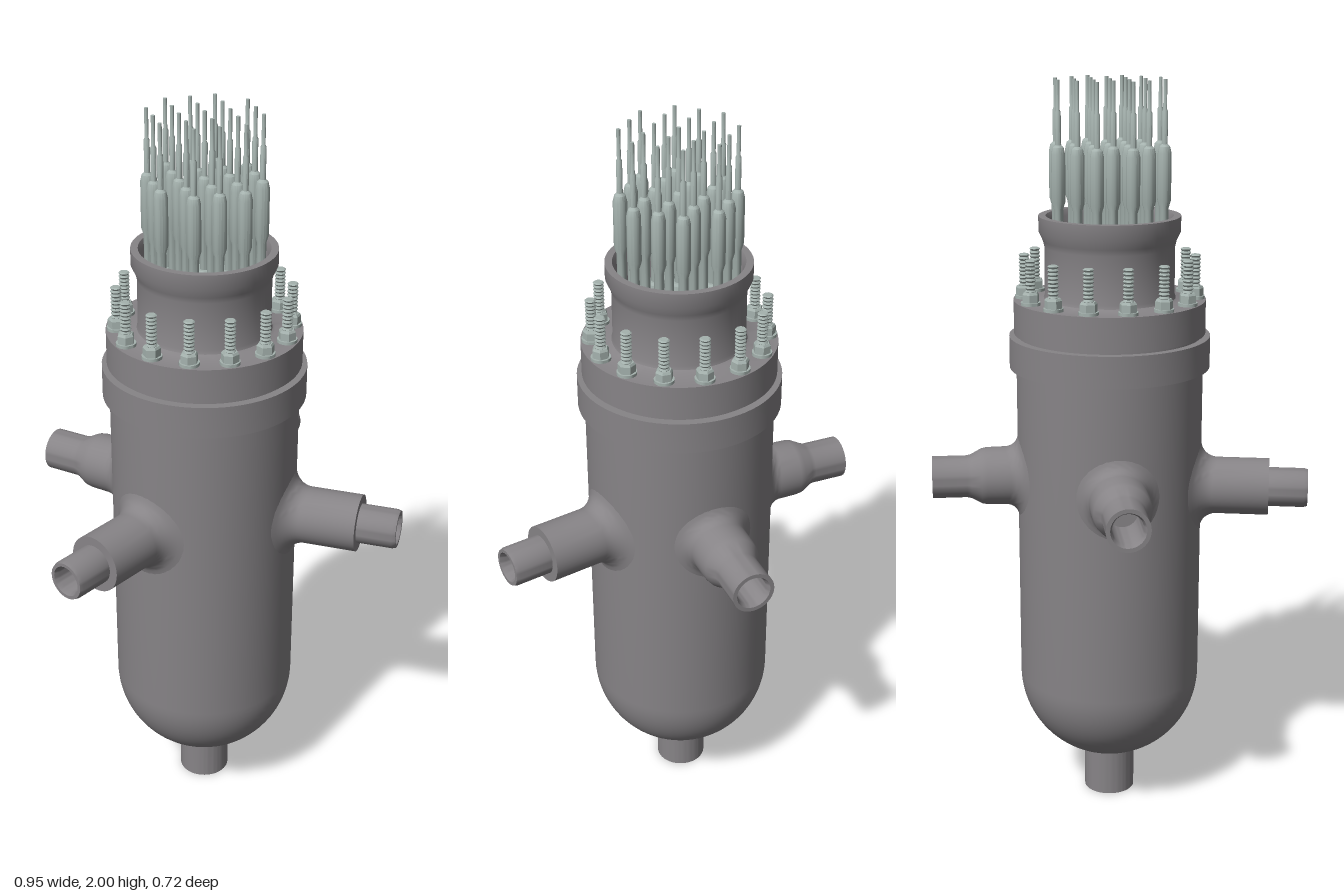
import * as THREE from 'three';
import { toCreasedNormals } from 'three/addons/utils/BufferGeometryUtils.js';

const AXIS_Z = 0.0155; // vessel axis
const BODY_R = 0.25;

export function createModel() {
  const steel = new THREE.MeshStandardMaterial({ color: 0x878487 });
  steel.name = 'vessel steel';
  const bright = new THREE.MeshStandardMaterial({ color: 0xa5b2ae });
  bright.name = 'bright steel';

  const model = new THREE.Group();
  model.name = 'pressureVessel';
  const vessel = new THREE.Group();
  vessel.name = 'vesselAssembly';
  vessel.position.z = AXIS_Z;
  model.add(vessel);

  const lathe = (pts, segs) =>
    new THREE.LatheGeometry(pts.map(([r, y]) => new THREE.Vector2(r, y)), segs);
  const crease = (geo, angle = 0.6) => toCreasedNormals(geo, angle);
  const add = (parent, name, geo, mat) => {
    const mesh = new THREE.Mesh(geo, mat);
    mesh.name = name;
    parent.add(mesh);
    return mesh;
  };
  // Quarter arc of an ellipse, from angle a0 to a1
  const arc = (cx, cy, rx, ry, a0, a1, n) =>
    Array.from({ length: n + 1 }, (_, i) => {
      const a = a0 + ((a1 - a0) * i) / n;
      return [cx + rx * Math.cos(a), cy + ry * Math.sin(a)];
    });

  // Shell: hollow drain pipe, round bottom, straight wall
  const shell = [
    [0, 0.11], [0.058, 0.11], [0.058, 0], [0.07, 0], [0.07, 0.128],
    ...arc(0, 0.37, BODY_R, 0.248, -Math.acos(0.078 / BODY_R), 0, 18),
    [BODY_R, 1.26],
  ];
  add(vessel, 'shell', crease(lathe(shell, 72)), steel);

  // Lower flange ring
  add(vessel, 'lowerFlange', crease(lathe([
    [0.24, 1.25], [0.268, 1.25], [0.268, 1.335], [0.2, 1.335],
  ], 72)), steel);

  // Closure head: upper flange, flared collar and inner dome
  add(vessel, 'closureHead', crease(lathe([
    [0.246, 1.33], [0.246, 1.342], [0.255, 1.342], [0.255, 1.432], [0.182, 1.432],
    [0.175, 1.436], [0.172, 1.445], [0.172, 1.572], [0.176, 1.588], [0.187, 1.612],
    [0.187, 1.652], [0.168, 1.652], [0.16, 1.635], [0.16, 1.46],
  ], 72)), steel);
  add(vessel, 'innerDome', crease(lathe(
    arc(0, 1.46, 0.161, 0.11, 0, Math.PI / 2, 12), 48)), steel);

  // Nozzles: turned profile whose root ring is bent onto the shell
  const nozzleGeometry = (r, fillet, outer) => {
    const root = arc(r + fillet, BODY_R + fillet, fillet, fillet, -Math.PI / 2, -Math.PI, 8);
    root[0][1] -= 0.002;
    const geo = lathe([...root, ...outer], 40);
    geo.rotateZ(-Math.PI / 2);
    const p = geo.attributes.position;
    for (let i = 0; i < p.count; i++) {
      const x = p.getX(i), z = p.getZ(i);
      if (x < BODY_R + fillet + 1e-4) {
        p.setX(i, x + Math.sqrt(BODY_R * BODY_R - z * z) - BODY_R);
      }
    }
    return crease(geo);
  };
  const frontNozzle = nozzleGeometry(0.077, 0.045, [
    [0.077, 0.435], [0.053, 0.435], [0.053, 0.53], [0.05, 0.54],
    [0.041, 0.54], [0.036, 0.525], [0.036, 0.34], [0, 0.34],
  ]);
  const backNozzle = nozzleGeometry(0.079, 0.035, [
    [0.078, 0.335], [0.075, 0.35], [0.06, 0.378], [0.057, 0.39], [0.057, 0.483],
    [0.046, 0.483], [0.04, 0.47], [0.04, 0.34], [0, 0.34],
  ]);
  for (const [name, geo, degrees, y] of [
    ['frontNozzleLeft', frontNozzle, 33.7, 0.92],
    ['frontNozzleRight', frontNozzle, 146.3, 0.92],
    ['backNozzleLeft', backNozzle, -45, 0.947],
    ['backNozzleRight', backNozzle, -135, 0.947],
  ]) {
    const nozzle = add(vessel, name, geo, steel);
    nozzle.position.y = y;
    nozzle.rotation.y = -THREE.MathUtils.degToRad(degrees);
  }

  // Threaded studs with washers and hex nuts around the flange
  const thread = [[0.011, 0]];
  for (let y = 0.03; y < 0.112; y += 0.01) thread.push([0.011, y], [0.0145, y + 0.005]);
  thread.push([0.011, 0.118], [0, 0.118]);
  const studGeo = crease(lathe(thread, 14));
  const washerGeo = crease(new THREE.CylinderGeometry(0.026, 0.026, 0.008, 24));
  const nutGeo = crease(lathe([[0.023, 0], [0.023, 0.02], [0.019, 0.026], [0.01, 0.026]], 6), 0.2);
  const STUDS = 14;
  for (let i = 0; i < STUDS; i++) {
    const a = (i / STUDS) * Math.PI * 2;
    const bolt = new THREE.Group();
    bolt.name = 'flangeBolt';
    bolt.position.set(Math.sin(a) * 0.226, 1.432, Math.cos(a) * 0.226);
    bolt.rotation.y = a;
    add(bolt, 'stud', studGeo, bright);
    add(bolt, 'washer', washerGeo, bright).position.y = 0.004;
    add(bolt, 'nut', nutGeo, bright).position.y = 0.008;
    vessel.add(bolt);
  }

  // Control rods: five by five grid without corners, seated on the dome
  const rodGeo = crease(lathe([
    [0.012, 1.46], [0.012, 1.675], [0.018, 1.695], [0.018, 1.815], [0.014, 1.832],
    [0.0075, 1.838], [0.0075, 1.92], [0.005, 1.925], [0.005, 2], [0, 2],
  ], 16));
  const sleeveGeo = crease(lathe([
    [0.023, -0.03], [0.023, 0.018], [0.019, 0.024], [0.01, 0.024],
  ], 20));
  for (let i = -2; i <= 2; i++) {
    for (let j = -2; j <= 2; j++) {
      if (Math.abs(i) + Math.abs(j) === 4) continue;
      const x = i * 0.0645, z = j * 0.0645;
      add(vessel, 'controlRod', rodGeo, bright).position.set(x, 0, z);
      const k = Math.min(1, Math.hypot(x, z) / 0.161);
      add(vessel, 'rodSleeve', sleeveGeo, bright)
        .position.set(x, 1.46 + 0.11 * Math.sqrt(1 - k * k), z);
    }
  }
  return model;
}
